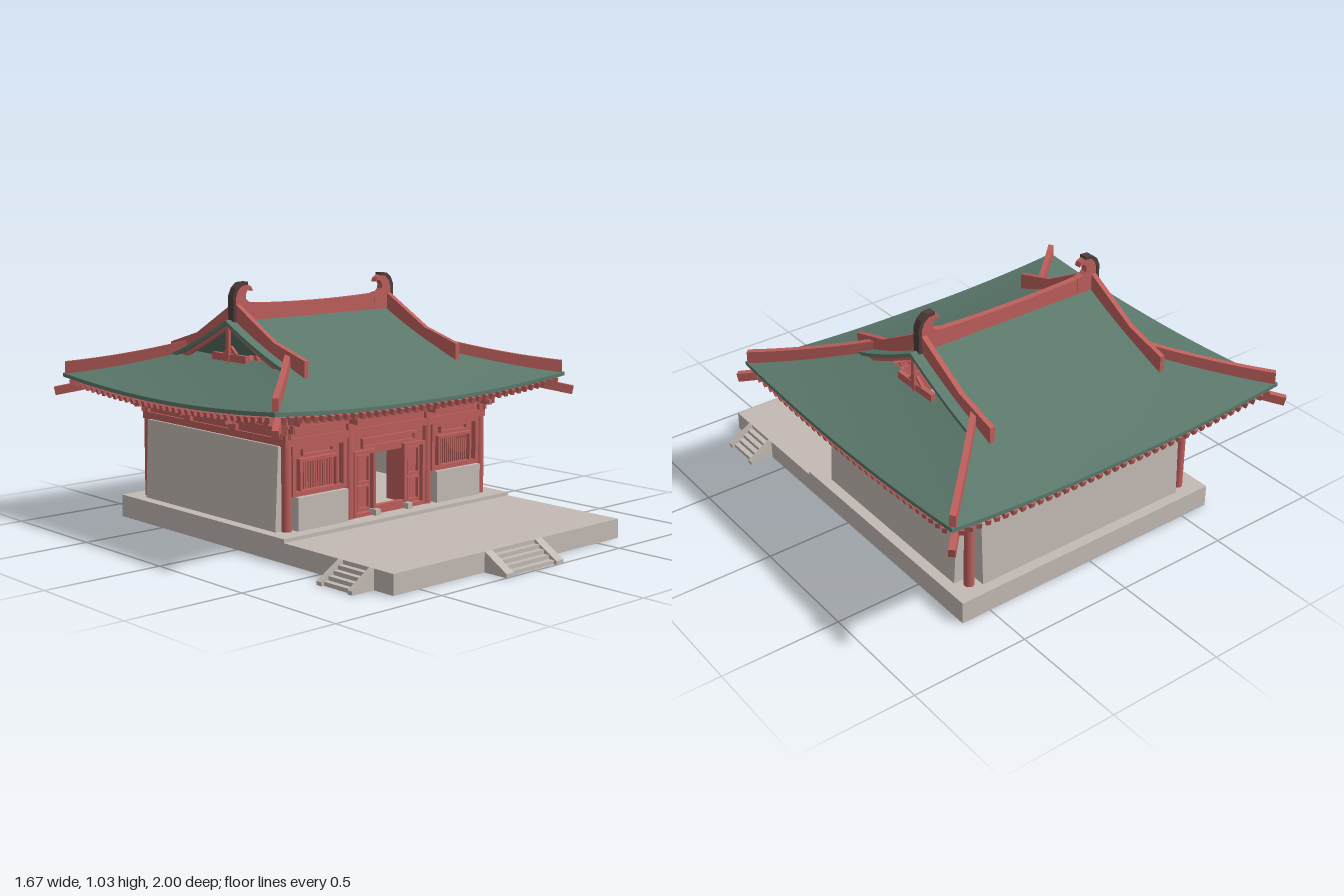
import * as THREE from 'three';
import { mergeGeometries } from 'three/addons/utils/BufferGeometryUtils.js';

const mat = (name, color, extra = {}) => Object.assign(new THREE.MeshStandardMaterial({ color, ...extra }), { name });

export function createModel() {
  const stone = mat('stone', 0xc3bab4), red = mat('redTimber', 0xbd5f5c);
  const tile = mat('greenTile', 0x5b786b, { side: THREE.DoubleSide }), dark = mat('darkTrim', 0x4f3d3c);
  const model = new THREE.Group();
  model.name = 'templeHall';
  const hall = new THREE.Group(); // centred under the ridge
  hall.name = 'hall';
  hall.position.z = -0.255;
  model.add(hall);

  const put = (parent, name, geo, m, x = 0, y = 0, z = 0) => {
    const mesh = new THREE.Mesh(geo, m);
    mesh.name = name;
    mesh.position.set(x, y, z);
    parent.add(mesh);
    return mesh;
  };
  const box = (parent, name, m, w, h, d, x, y, z) => put(parent, name, new THREE.BoxGeometry(w, h, d), m, x, y, z);
  // box given by its x and y limits
  const span = (name, m, x0, x1, y0, y1, z, d) =>
    box(hall, name, m, x1 - x0, y1 - y0, d, (x0 + x1) / 2, (y0 + y1) / 2, z);
  const bar = (parent, name, m, a, b, w, h) => {
    const A = new THREE.Vector3(...a), B = new THREE.Vector3(...b);
    const mesh = new THREE.Mesh(new THREE.BoxGeometry(w, h, A.distanceTo(B)), m);
    mesh.name = name;
    mesh.position.copy(A).add(B).multiplyScalar(0.5);
    mesh.lookAt(B);
    parent.add(mesh);
  };
  // flat outline extruded evenly to both sides of its plane
  const slab = (pts, t) => new THREE.ExtrudeGeometry(new THREE.Shape(pts.map(p => new THREE.Vector2(...p))),
    { depth: t, bevelEnabled: false }).translate(0, 0, -t / 2);
  const sides = [-1, 1];

  // hollow terrace and base: paving on outer walls, open underneath
  box(model, 'basePaving', stone, 1.26, 0.02, 1.08, 0, 0.085, -0.25);
  box(model, 'terracePaving', stone, 1.26, 0.005, 0.6, 0, 0.0775, 0.59);
  for (const s of sides) {
    box(model, 'terraceSide', stone, 0.006, 0.075, 1.68, s * 0.627, 0.0375, 0.05);
    box(model, 'terraceEnd', stone, 1.248, 0.075, 0.006, 0, 0.0375, 0.05 + s * 0.837);
  }
  const stair = (name, width, run, cheek, x, z, turn) => {
    const g = new THREE.Group();
    g.name = name;
    g.position.set(x, 0, z);
    g.rotation.y = turn;
    for (const s of sides)
      put(g, 'cheek', slab([[0, 0], [0, 0.08], [run, 0.015], [run, 0]], cheek).rotateY(-Math.PI / 2), stone, s * (width - cheek) / 2);
    for (let i = 0; i < 4; i++) {
      const tread = run * 0.22, h = 0.064 - i * 0.016, w = width - 2 * cheek;
      box(g, 'tread', stone, w, 0.004, tread, 0, h - 0.002, tread * (i + 0.5));
      box(g, 'riser', stone, w, 0.016, 0.004, 0, h - 0.008, tread * (i + 1) - 0.002);
    }
    model.add(g);
  };
  stair('frontStair', 0.32, 0.11, 0.04, 0, 0.89, 0);
  for (const s of sides) stair('sideStair', 0.19, 0.105, 0.025, s * 0.63, 0.695, s * Math.PI / 2);

  // walls that lean inward
  const CX = 0.54, CZ = 0.455;
  const taper = (w, d, k, axis) => {
    const g = new THREE.BoxGeometry(w, 0.335, d), p = g.attributes.position;
    for (let i = 0; i < p.count; i++)
      if (p.getY(i) > 0) p.setComponent(i, axis, p.getComponent(i, axis) * k);
    g.computeVertexNormals();
    return g;
  };
  for (const s of sides) put(hall, 'sideWall', taper(0.07, 0.86, 0.5, 0), stone, s * 0.55, 0.2625, 0.01);
  put(hall, 'backWall', taper(1.0, 0.07, 0.6, 2), stone, 0, 0.2625, -CZ);

  // columns
  const column = new THREE.CylinderGeometry(0.019, 0.021, 0.365, 16);
  for (const x of [-CX, -0.218, 0.218, CX])
    for (const z of [-CZ, CZ]) put(hall, 'column', column, red, x, 0.2775, z);

  // beams that run round the hall
  const ring = (name, y, h, out, t) => {
    for (const s of sides) {
      box(hall, name, red, 2 * (CX + out) + t, h, t, 0, y, s * (CZ + out));
      box(hall, name, red, t, h, 2 * (CZ + out) + t, s * (CX + out), y, 0);
    }
  };
  ring('architrave', 0.443, 0.03, 0, 0.034);
  ring('bracketWall', 0.55, 0.19, 0, 0.014);
  for (const y of [0.492, 0.528, 0.564]) ring('tieBeam', y, 0.014, 0, 0.026);
  ring('eavePurlin', 0.588, 0.02, 0.075, 0.02);

  // front bays: low wall, lattice window, door
  const frame = (name, x0, x1, y0, y1, t, z, d) => {
    span(name, red, x0, x0 + t, y0, y1, z, d);
    span(name, red, x1 - t, x1, y0, y1, z, d);
    span(name, red, x0 + t, x1 - t, y0, y0 + t, z, d);
    span(name, red, x0 + t, x1 - t, y1 - t, y1, z, d);
  };
  for (const s of sides) {
    const a = s > 0 ? 0.24 : -0.52, b = a + 0.28;
    span('lowWall', stone, a + 0.01, b - 0.01, 0.095, 0.228, CZ, 0.07);
    span('windowBoard', red, a, b, 0.228, 0.43, CZ - 0.014, 0.008);
    frame('windowFrame', a, b, 0.228, 0.43, 0.018, CZ, 0.03);
    frame('windowSash', a + 0.04, b - 0.04, 0.236, 0.372, 0.012, CZ, 0.024);
    frame('windowHead', a + 0.06, b - 0.06, 0.382, 0.41, 0.007, CZ - 0.004, 0.02);
    for (let x = a + 0.06; x < b - 0.055; x += 0.0123) span('lattice', red, x, x + 0.007, 0.245, 0.362, CZ - 0.008, 0.006);

    const c = s > 0 ? 0.08 : -0.2, d = c + 0.12;
    span('doorBoard', red, c, d, 0.095, 0.36, CZ - 0.012, 0.008);
    frame('doorFrame', c, d, 0.095, 0.365, 0.015, CZ, 0.03);
    frame('doorPanel', c + 0.025, d - 0.025, 0.12, 0.22, 0.008, CZ - 0.004, 0.02);
    frame('doorPanel', c + 0.025, d - 0.025, 0.23, 0.345, 0.008, CZ - 0.004, 0.02);
    box(hall, 'openDoorLeaf', red, 0.01, 0.23, 0.08, s * 0.087, 0.235, CZ - 0.055);
    box(hall, 'doorStone', stone, 0.026, 0.025, 0.05, s * 0.09, 0.107, CZ + 0.015);
  }
  span('threshold', red, -0.08, 0.08, 0.095, 0.13, CZ, 0.024);
  span('transom', red, -0.2, 0.2, 0.345, 0.43, CZ - 0.01, 0.014);
  frame('transomFrame', -0.15, 0.15, 0.372, 0.412, 0.009, CZ, 0.022);

  // bracket sets, built facing +z
  const bracket = (x, z, turn, arms = true) => {
    const g = new THREE.Group();
    g.name = 'bracketSet';
    g.position.set(x, 0, z);
    g.rotation.y = turn;
    const b = (w, h, d, y, zz = 0, xx = 0) => box(g, 'bracketPart', red, w, h, d, xx, y, zz);
    b(0.04, 0.026, 0.046, 0.472);
    b(0.02, 0.02, 0.09, 0.494, 0.02);
    b(0.026, 0.014, 0.026, 0.511, 0.05);
    b(0.02, 0.02, 0.11, 0.528, 0.035);
    b(0.026, 0.014, 0.026, 0.545, 0.075);
    b(0.02, 0.03, 0.13, 0.564, 0.035);
    if (arms) {
      b(0.12, 0.018, 0.03, 0.495);
      b(0.2, 0.018, 0.03, 0.531);
      b(0.11, 0.016, 0.016, 0.56, 0.075);
      for (const s of sides) {
        b(0.022, 0.014, 0.034, 0.512, 0, s * 0.052);
        b(0.022, 0.014, 0.034, 0.548, 0, s * 0.088);
        b(0.022, 0.012, 0.024, 0.573, 0.075, s * 0.046);
      }
    }
    hall.add(g);
  };
  for (const s of sides) {
    const face = s > 0 ? 0 : Math.PI;
    for (const x of [-CX, -0.218, 0.218, CX]) bracket(x, s * CZ, face);
    for (const z of [-CZ, -0.15, 0.15, CZ]) bracket(s * CX, z, s * Math.PI / 2);
    for (const t of sides) bracket(s * CX, t * CZ, Math.atan2(s, t), false);
  }

  // roof surface: a curved pitch with lifted corners
  const EAVE = 0.705, OFF = 0.095, THICK = 0.016;
  const pitch = d => 0.875 - 0.55 * d + 0.197 * d * d;
  const lift = (x, d) => 0.035 * (Math.max(0, Math.min(Math.abs(x) - OFF, Math.abs(d))) / EAVE) ** 2;
  const roofY = (x, z) => pitch(Math.max(Math.abs(x) - OFF, Math.abs(z))) + lift(x, z);
  const grid = (fn, nu, nv) => {
    const pos = [], idx = [];
    for (let j = 0; j <= nv; j++) for (let i = 0; i <= nu; i++) pos.push(...fn(i / nu, j / nv));
    for (let j = 0; j < nv; j++) for (let i = 0; i < nu; i++) {
      const a = j * (nu + 1) + i, b = a + nu + 1;
      idx.push(a, b, a + 1, a + 1, b, b + 1);
    }
    const g = new THREE.BufferGeometry();
    g.setAttribute('position', new THREE.Float32BufferAttribute(pos, 3));
    g.setIndex(idx);
    g.computeVertexNormals();
    return g;
  };
  const shell = (fn, nu, nv) => {
    const low = (u, v, k = 1) => { const p = fn(u, v); return [p[0], p[1] - k * THICK, p[2]]; };
    return mergeGeometries([grid(fn, nu, nv), grid(low, nu, nv),
      ...[0, 1].flatMap(e => [grid((u, k) => low(u, e, k), nu, 1), grid((v, k) => low(e, v, k), nv, 1)])]);
  };
  for (const s of sides) {
    put(hall, 'mainRoof', shell((u, v) => {
      const d = v * EAVE, x = (2 * u - 1) * Math.max(0.475, d + OFF);
      return [x, pitch(d) + lift(x, d), s * d];
    }, 32, 24), tile);
    put(hall, 'sideRoof', shell((u, v) => {
      const x = 0.42 + 0.38 * v, z = (2 * u - 1) * (x - OFF);
      return [s * x, pitch(x - OFF) + lift(x, z), z];
    }, 32, 12), tile);
  }

  // rafters, fanning out at the corners, their ends showing below the eaves
  const clamp = THREE.MathUtils.clamp;
  const rafter = (x0, z0, x1, z1) =>
    bar(hall, 'rafter', red, [x0, roofY(x0, z0) - 0.034, z0], [x1, roofY(x1, z1) - 0.033, z1], 0.018, 0.024);
  for (const s of sides) {
    for (let i = -19; i <= 19; i++) rafter(clamp(i * 0.04, -0.52, 0.52), s * 0.43, i * 0.04, s * 0.703);
    for (let i = -16; i <= 16; i++) rafter(s * 0.525, clamp(i * 0.041, -0.43, 0.43), s * 0.798, i * 0.041);
  }

  for (const sx of sides) for (const sz of sides) {
    // corner beam and hip ridge
    bar(hall, 'cornerBeam', red, [sx * 0.52, 0.63, sz * 0.425], [sx * 0.823, 0.543, sz * 0.733], 0.026, 0.036);
    const top = [], bottom = [];
    for (let i = 0; i <= 8; i++) {
      const d = 0.325 + i * 0.0465, y = roofY(d + OFF, d), r = (d - 0.325) * Math.SQRT2;
      top.push([r, y + 0.04 + 0.001 * i]);
      bottom.unshift([r, y - 0.008]);
    }
    put(hall, 'hipRidge', slab([...top, ...bottom], 0.024).rotateY(Math.atan2(-sz, sx)), red, sx * 0.42, 0, sz * 0.325);

    // sloping ridge above the gable and the board below it
    const ds = [0, 0.11, 0.22, 0.33, 0.437];
    const slope = [[0, 0.945], [0.25, 0.803], [0.437, 0.748], ...ds.map(d => [d, pitch(d) - 0.008]).reverse()];
    put(hall, 'gableRidge', slab(slope.map(([d, y]) => [sz * d, y]), 0.022).rotateY(-Math.PI / 2), red, sx * 0.42);
    const inner = ds.slice(0, 4);
    const board = [...inner.map(d => [d, pitch(d) - 0.014]), ...inner.map(d => [d, pitch(d) - 0.032]).reverse()];
    put(hall, 'bargeBoard', slab(board.map(([d, y]) => [sz * d, y]), 0.014).rotateY(-Math.PI / 2), red, sx * 0.455);
    bar(hall, 'gableStrut', red, [sx * 0.45, 0.735, sz * 0.04], [sx * 0.45, 0.765, sz * 0.005], 0.012, 0.012);
  }

  // gable truss and hanging ornament
  for (const s of sides) {
    box(hall, 'gableBeam', red, 0.02, 0.03, 0.22, s * 0.45, 0.722, 0);
    put(hall, 'gablePendant', slab([[-0.009, 0.86], [-0.009, 0.73], [0, 0.7], [0.009, 0.73], [0.009, 0.86]], 0.014)
      .rotateY(-Math.PI / 2), red, s * 0.46);
  }

  // main ridge with a slight sag
  const crest = [];
  for (let i = -8; i <= 8; i++) crest.push([i * 0.05, 0.93 + 0.012 * (i / 8) ** 2]);
  put(hall, 'mainRidge', slab([[-0.4, 0.86], ...crest, [0.4, 0.86]].reverse(), 0.026), red);

  // curled ridge ends with a dark outer rim
  const curl = [[0.34, 0.87], [0.435, 0.87], [0.435, 0.965], [0.422, 0.995], [0.4, 1.014], [0.372, 1.017], [0.35, 1.005],
    [0.342, 0.988], [0.354, 0.995], [0.37, 0.992], [0.38, 0.975], [0.378, 0.957], [0.365, 0.945], [0.335, 0.94]];
  const rim = [[0.431, 0.865], [0.446, 0.865], [0.446, 0.972], [0.432, 1.004], [0.406, 1.025], [0.37, 1.027],
    [0.37, 1.014], [0.4, 1.011], [0.42, 0.993], [0.431, 0.965]];
  for (const s of sides) {
    put(hall, 'ridgeEnd', slab(curl.map(([x, y]) => [s * x, y]), 0.03), red);
    put(hall, 'ridgeEndRim', slab(rim.map(([x, y]) => [s * x, y]), 0.034), dark);
  }
  return model;
}
